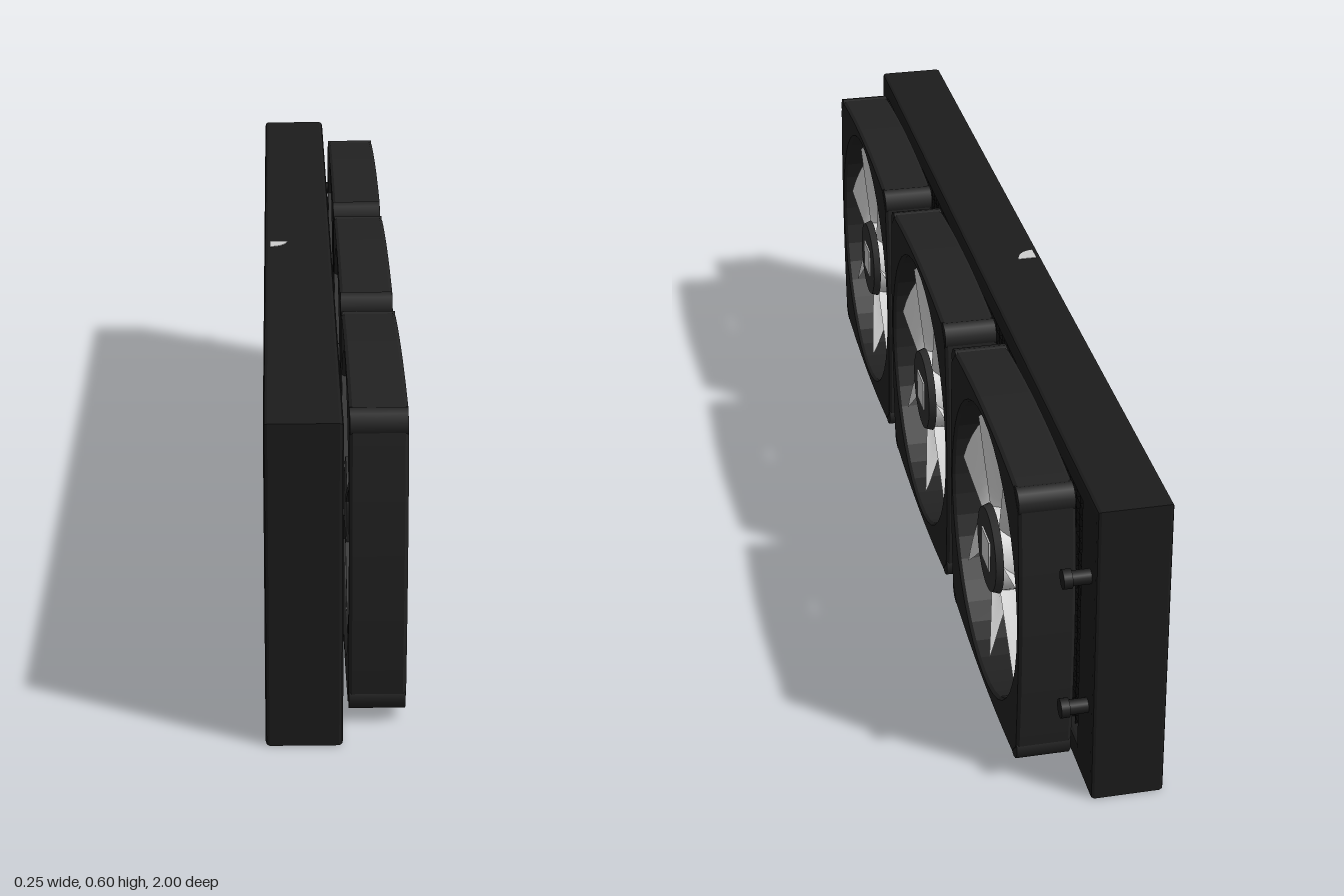
import * as THREE from 'three';
import { mergeGeometries } from 'three/addons/utils/BufferGeometryUtils.js';

const mat = (name, color, side = THREE.FrontSide) => {
  const m = new THREE.MeshStandardMaterial({ color, side });
  m.name = name;
  return m;
};

function add(parent, name, geometry, material, x = 0, y = 0, z = 0) {
  const mesh = new THREE.Mesh(geometry, material);
  mesh.name = name;
  mesh.position.set(x, y, z);
  parent.add(mesh);
  return mesh;
}

function rectPath(Type, x0, y0, x1, y1) {
  const p = new Type();
  p.moveTo(x0, y0).lineTo(x1, y0).lineTo(x1, y1).lineTo(x0, y1).closePath();
  return p;
}

// Twisted, swept blade: a grid in radius and chord, pitched along the axis
function bladeGeometry() {
  const g = new THREE.PlaneGeometry(1, 1, 8, 8);
  const p = g.attributes.position;
  for (let i = 0; i < p.count; i++) {
    const s = p.getX(i) * 2;              // chord -1..1
    const t = p.getY(i) + 0.5;            // root 0..tip 1
    const r = 0.072 + t * (0.195 - 0.02 * s * s);
    const half = 0.33 + 0.05 * Math.sin(t * Math.PI);
    const a = s * half + 0.1 * t * t;
    const depth = 0.036 + 0.006 * t;
    p.setXYZ(i, -r * Math.sin(a), r * Math.cos(a), 0.067 + s * depth + 0.006 * (1 - s * s));
  }
  g.computeVertexNormals();
  return g;
}

// Square fan housing with slightly bowed sides and a round opening
function housingGeometry() {
  const c = 0.278, k = 0.306, n = 0.03;
  const shape = new THREE.Shape();
  shape.moveTo(-c + n, -c);
  shape.quadraticCurveTo(0, -k, c - n, -c);
  shape.lineTo(c, -c + n);
  shape.quadraticCurveTo(k, 0, c, c - n);
  shape.lineTo(c - n, c);
  shape.quadraticCurveTo(0, k, -c + n, c);
  shape.lineTo(-c, c - n);
  shape.quadraticCurveTo(-k, 0, -c, -c + n);
  const hole = new THREE.Path();
  hole.absarc(0, 0, 0.28, 0, Math.PI * 2, true);
  shape.holes.push(hole);
  return new THREE.ExtrudeGeometry(shape, {
    depth: 0.09, bevelThickness: 0.006, bevelSize: 0.004, bevelSegments: 1, curveSegments: 20,
  }).translate(0, 0, 0.027);
}

function createFan(m, blade, housing) {
  const fan = new THREE.Group();
  fan.name = 'fan';
  add(fan, 'fanHousing', housing, m.housing);

  // Mounting lugs at the four corners
  for (const x of [-1, 1]) for (const y of [-1, 1]) {
    add(fan, 'cornerLug', new THREE.CylinderGeometry(0.028, 0.028, 0.1, 10).rotateX(Math.PI / 2),
      m.housing, x * 0.256, y * 0.256, 0.072);
  }

  // Rotor
  add(fan, 'hubSide', new THREE.CylinderGeometry(0.08, 0.08, 0.07, 32).rotateX(Math.PI / 2), m.blade, 0, 0, 0.068);
  add(fan, 'hubCap', new THREE.CylinderGeometry(0.08, 0.085, 0.014, 32).rotateX(Math.PI / 2), m.hub, 0, 0, 0.109);
  add(fan, 'hubBadge', new THREE.BoxGeometry(0.062, 0.062, 0.004), m.badge, 0, 0, 0.117);
  for (let i = 0; i < 7; i++) {
    add(fan, 'blade', blade, m.blade).rotation.z = i * Math.PI * 2 / 7;
  }

  // Motor mount and struts behind the rotor
  add(fan, 'motorMount', new THREE.CylinderGeometry(0.085, 0.085, 0.01, 32).rotateX(Math.PI / 2), m.hub, 0, 0, 0.028);
  for (const deg of [36, 151, 218, 324]) {
    const strut = new THREE.BoxGeometry(0.215, 0.013, 0.01).translate(0.18, 0, 0);
    add(fan, 'strut', strut, m.housing, 0, 0, 0.026).rotation.z = deg * Math.PI / 180;
  }
  return fan;
}

export function createModel() {
  const m = {
    shell: mat('radiator black', 0x1c1c1c),
    fin: mat('fin black', 0x080808, THREE.DoubleSide),
    housing: mat('housing black', 0x222222),
    hub: mat('hub dark grey', 0x303030),
    blade: mat('blade light grey', 0xdadada, THREE.DoubleSide),
    badge: mat('badge grey', 0xcfcfcf),
  };
  const root = new THREE.Group();
  root.name = 'radiatorWithFans';

  // Built facing local +z, then turned so the fans face +x
  const body = new THREE.Group();
  body.name = 'assembly';
  body.rotation.y = Math.PI / 2;
  root.add(body);

  // Radiator shell with end tanks around an open core
  const b = 0.007;
  const x0 = -0.94, x1 = 0.9, y0 = 0.036, y1 = 0.564;
  const outline = rectPath(THREE.Shape, -1 + b, b, 1 - b, 0.6 - b);
  outline.holes.push(rectPath(THREE.Path, x0, y0, x1, y1));
  add(body, 'radiatorShell', new THREE.ExtrudeGeometry(outline, {
    depth: 0.135 - 2 * b, bevelThickness: b, bevelSize: b, bevelSegments: 2,
  }).translate(0, 0, -0.125 + b), m.shell);

  // Core: paper-thin fins in both directions
  const sheets = [];
  const depth = 0.11, mid = -0.058;
  for (let i = 1; i < 22; i++) {
    const y = y0 + (y1 - y0) * i / 22;
    sheets.push(new THREE.PlaneGeometry(x1 - x0, depth).rotateX(Math.PI / 2).translate((x0 + x1) / 2, y, mid));
  }
  for (let i = 1; i < 80; i++) {
    const x = x0 + (x1 - x0) * i / 80;
    sheets.push(new THREE.PlaneGeometry(depth, y1 - y0).rotateY(Math.PI / 2).translate(x, (y0 + y1) / 2, mid));
  }
  add(body, 'coreFins', mergeGeometries(sheets), m.fin);

  // Coolant tubes through the core
  for (const y of [0.33, 0.4, 0.46]) {
    add(body, 'coolantTube', new THREE.BoxGeometry(x1 - x0, 0.008, 0.1), m.shell, (x0 + x1) / 2, y, mid);
  }

  // Hose ports
  for (const y of [0.178, 0.449]) {
    add(body, 'hosePort', new THREE.CylinderGeometry(0.014, 0.014, 0.05, 16).rotateX(Math.PI / 2),
      m.shell, 0.96, y, 0.03);
    add(body, 'portCollar', new THREE.CylinderGeometry(0.018, 0.018, 0.016, 16).rotateX(Math.PI / 2),
      m.shell, 0.96, y, 0.052);
  }

  // Small pale mark on the top edge
  const mark = new THREE.Shape();
  mark.moveTo(0, 0).lineTo(0.036, 0).lineTo(0.036, 0.036).quadraticCurveTo(0.006, 0.034, 0, 0);
  add(body, 'topMark', new THREE.ExtrudeGeometry(mark, { depth: 0.002, bevelEnabled: false })
    .rotateZ(Math.PI / 2).rotateX(-Math.PI / 2), m.badge, 0.03, 0.599, -0.078);

  // Three fans in a row
  const blade = bladeGeometry(), housing = housingGeometry();
  for (const x of [-0.637, -0.008, 0.615]) {
    const fan = createFan(m, blade, housing);
    fan.position.set(x, 0.304, 0);
    body.add(fan);
  }
  return root;
}
